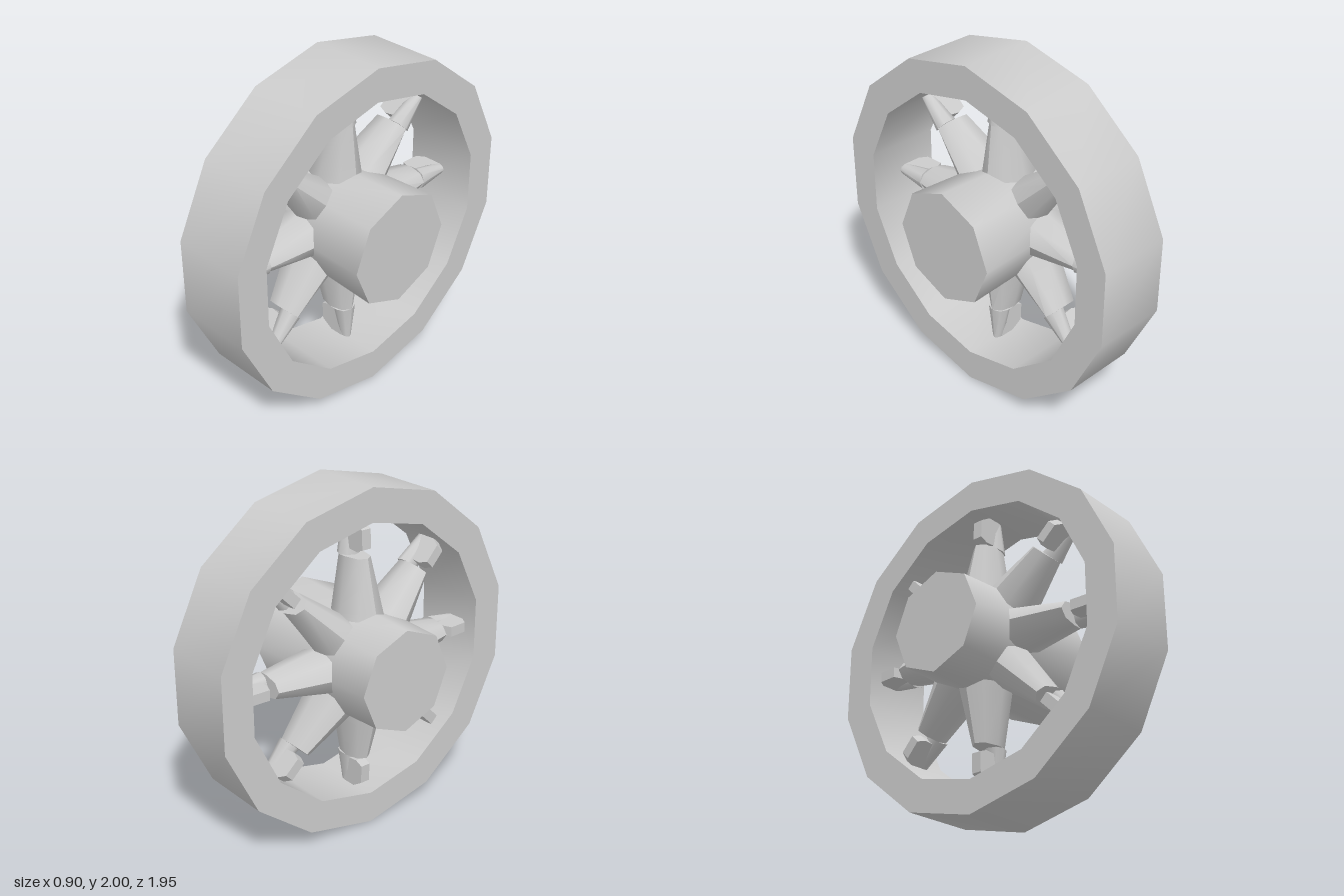
import * as THREE from 'three';
import { toCreasedNormals } from 'three/addons/utils/BufferGeometryUtils.js';

const material = new THREE.MeshStandardMaterial({ color: 0xcccccc });

// Faceted ring or drum around the x axis; profile is [radius, x]
function turned(profile, sides) {
  const points = profile.map(([r, x]) => new THREE.Vector2(r, x));
  const geometry = new THREE.LatheGeometry(points, sides, Math.PI / 2);
  geometry.rotateZ(-Math.PI / 2);
  return toCreasedNormals(geometry, 1.0);
}

// Tapered spoke along y; each section is [radius from axle, xMin, xMax, half width]
function loft(sections, sides) {
  const positions = [];
  const index = [];
  sections.forEach(([r, x0, x1, hz], s) => {
    for (let i = 0; i < sides; i++) {
      const a = (i / sides) * Math.PI * 2;
      positions.push((x0 + x1) / 2 + ((x1 - x0) / 2) * Math.cos(a), r, hz * Math.sin(a));
      if (s === 0) continue;
      const j = (i + 1) % sides;
      const low = (s - 1) * sides;
      const high = s * sides;
      index.push(low + i, high + i, low + j, high + i, high + j, low + j);
    }
  });
  const geometry = new THREE.BufferGeometry();
  geometry.setAttribute('position', new THREE.Float32BufferAttribute(positions, 3));
  geometry.setIndex(index);
  return toCreasedNormals(geometry, 0.9);
}

// Angular brace behind the spoke tip, where it meets the rim
function braceGeometry() {
  const shape = new THREE.Shape();
  shape.moveTo(0.04, 0.64);
  shape.lineTo(0.04, 0.82);
  shape.lineTo(-0.02, 0.82);
  shape.lineTo(-0.115, 0.76);
  shape.lineTo(-0.12, 0.65);
  shape.lineTo(-0.07, 0.63);
  shape.closePath();
  const geometry = new THREE.ExtrudeGeometry(shape, { depth: 0.06, bevelEnabled: false });
  return geometry.translate(0, 0, -0.03);
}

export function createModel() {
  const wheel = new THREE.Group();
  wheel.name = 'wheel';

  const add = (parent, geometry, name) => {
    const mesh = new THREE.Mesh(geometry, material);
    mesh.name = name;
    parent.add(mesh);
    return mesh;
  };

  // Fourteen-sided rim
  add(wheel, turned([[0.81, -0.17], [1, -0.17], [1, 0.27], [0.81, 0.27], [0.81, -0.17]], 14), 'rim');

  // Eight-sided hub, wider towards +x
  add(wheel, turned([[0, -0.45], [0.295, -0.45], [0.335, 0.45], [0, 0.45]], 8), 'hub');

  // Eight spokes, stepping down to a thin tip at the rim
  const spokeGeometry = loft([
    [0.18, -0.23, 0.135, 0.145],
    [0.31, -0.2, 0.12, 0.12],
    [0.6, -0.13, 0.09, 0.065],
    [0.6, -0.03, 0.09, 0.065],
    [0.82, 0.01, 0.075, 0.025],
  ], 8);
  const brace = braceGeometry();
  for (let i = 0; i < 8; i++) {
    const arm = new THREE.Group();
    arm.name = 'spokeArm';
    add(arm, spokeGeometry, 'spoke');
    add(arm, brace, 'rimBrace');
    arm.rotation.x = (i * Math.PI) / 4;
    wheel.add(arm);
  }

  wheel.position.y = 1;
  const model = new THREE.Group();
  model.add(wheel);
  return model;
}
